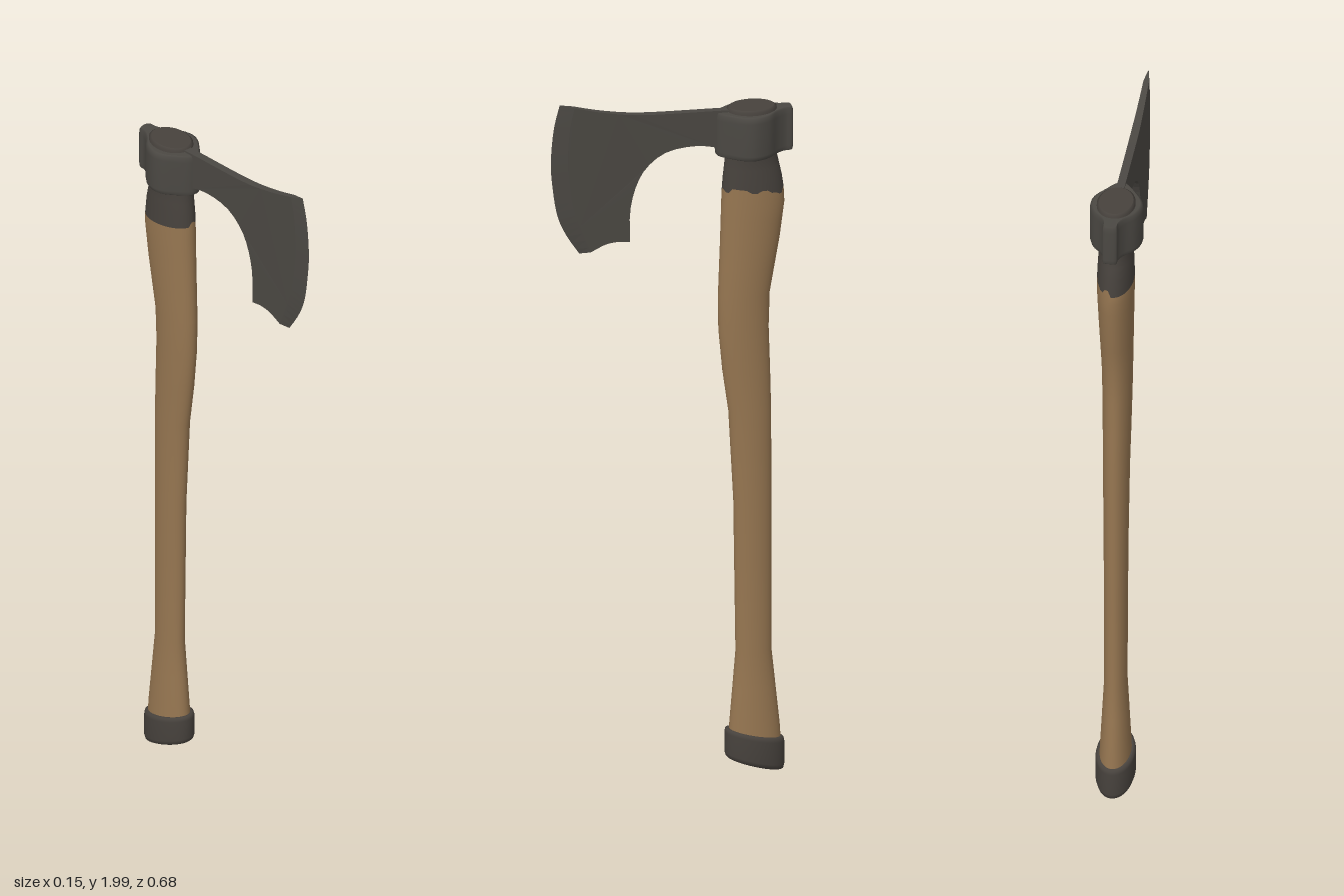
import * as THREE from 'three';

const SIDES = 36;
const iron = new THREE.MeshStandardMaterial({ color: 0x4b4843 });
const darkWrap = new THREE.MeshStandardMaterial({ color: 0x47423d });
const wood = new THREE.MeshStandardMaterial({ color: 0x967651 });
iron.name = 'iron';
darkWrap.name = 'darkWrap';
wood.name = 'wood';

// Skin a stack of rings (bottom to top); flat caps get their own vertices
function loft(rings, capBottom, capTop) {
  const n = rings[0].length, pos = [], idx = [];
  rings.forEach(r => r.forEach(p => pos.push(p.x, p.y, p.z)));
  for (let i = 0; i < rings.length - 1; i++) {
    for (let j = 0; j < n; j++) {
      const k = (j + 1) % n;
      const a = i * n + j, b = i * n + k, c = a + n, d = b + n;
      idx.push(a, c, b, b, c, d);
    }
  }
  const cap = (ring, up) => {
    const start = pos.length / 3;
    const mid = ring.reduce((s, p) => s.add(p), new THREE.Vector3()).divideScalar(n);
    [...ring, mid].forEach(p => pos.push(p.x, p.y, p.z));
    for (let j = 0; j < n; j++) {
      const a = start + j, b = start + (j + 1) % n;
      idx.push(start + n, up ? b : a, up ? a : b);
    }
  };
  if (capBottom) cap(rings[0], false);
  if (capTop) cap(rings[rings.length - 1], true);
  const g = new THREE.BufferGeometry();
  g.setAttribute('position', new THREE.Float32BufferAttribute(pos, 3));
  g.setIndex(idx);
  g.computeVertexNormals();
  return g;
}

// Handle sections: height, front z, back z, half width
const SECTIONS = [
  [0.06, -0.158, -0.308, 0.045], [0.14, -0.162, -0.303, 0.042],
  [0.36, -0.18, -0.28, 0.031], [0.80, -0.174, -0.28, 0.033],
  [1.06, -0.16, -0.279, 0.036], [1.18, -0.143, -0.276, 0.038],
  [1.30, -0.132, -0.272, 0.04], [1.40, -0.131, -0.275, 0.042],
  [1.56, -0.137, -0.303, 0.047], [1.66, -0.14, -0.316, 0.05],
  [1.72, -0.142, -0.313, 0.05], [1.80, -0.151, -0.295, 0.046],
  [1.84, -0.153, -0.295, 0.05],
];

// Point on the handle surface at a height and angle
function handlePoint(y, angle) {
  let i = 0;
  while (i < SECTIONS.length - 2 && y > SECTIONS[i + 1][0]) i++;
  const lo = SECTIONS[i], hi = SECTIONS[i + 1];
  const t = (y - lo[0]) / (hi[0] - lo[0]);
  const [, f, b, w] = lo.map((v, k) => THREE.MathUtils.lerp(v, hi[k], t));
  return new THREE.Vector3(w * Math.cos(angle), y, (f + b) / 2 + (f - b) / 2 * Math.sin(angle));
}
const angles = Array.from({ length: SIDES }, (_, j) => j / SIDES * Math.PI * 2);
const handleRing = y => angles.map(a => handlePoint(y, a));

// Ragged lower border of the wrap, stepped on the left side
const border = angles.map((a, j) => {
  const step = Math.cos(a) > 0 ? [0.012, 0.02, 0.02, 0.006][Math.floor(j / 2) % 4] : 0;
  return handlePoint(1.692 + step + 0.008 * Math.sin(a), a);
});

// Ellipse with a tilted plane: y falls towards the back
function tiltedRing(y, slope, w, d, zc = -0.2325) {
  return angles.map(a => {
    const dz = d * Math.sin(a);
    return new THREE.Vector3(w * Math.cos(a), y + slope * dz, zc + dz);
  });
}

// Closed outline of the eye collar seen from above
function collarOutline() {
  const half = [[0.018, -0.336], [0.021, -0.315], [0.034, -0.29], [0.06, -0.26],
    [0.073, -0.22], [0.067, -0.19], [0.045, -0.158], [0.013, -0.125]];
  const right = half.map(([x, z]) => new THREE.Vector3(x, 0, z));
  const left = half.map(([x, z]) => new THREE.Vector3(-x, 0, z)).reverse();
  return new THREE.CatmullRomCurve3([...right, ...left], true, 'centripetal').getPoints(64).slice(0, 64);
}

// Cutting edge and the line where its bevel starts, top to bottom, as [z, y]
const EDGE = [[0.315, 2.0], [0.332, 1.93], [0.34, 1.835], [0.335, 1.76], [0.322, 1.68], [0.298, 1.622], [0.26, 1.563]];
const BEVEL = [[0.275, 1.99], [0.288, 1.93], [0.294, 1.84], [0.289, 1.765], [0.277, 1.69], [0.256, 1.63], [0.23, 1.566]];
const smooth = pts => new THREE.SplineCurve(pts.map(p => new THREE.Vector2(...p))).getPoints(20);
const halfThickness = z => THREE.MathUtils.mapLinear(THREE.MathUtils.clamp(z, 0.1, 0.29), 0.1, 0.29, 0.011, 0.0075);

function bladeGeometry() {
  const shape = new THREE.Shape([
    ...smooth([[-0.2, 1.938], [-0.12, 1.942], [0.08, 1.951], [0.19, 1.968], [0.275, 1.99]]),
    ...smooth(BEVEL).slice(1),
    ...smooth([[0.23, 1.566], [0.19, 1.584], [0.155, 1.589], [0.12, 1.585]]).slice(1),
    ...smooth([[0.12, 1.587], [0.12, 1.67], [0.105, 1.74], [0.075, 1.795], [0.02, 1.835],
      [-0.055, 1.846], [-0.12, 1.836], [-0.155, 1.815], [-0.2, 1.812]]).slice(1),
  ]);
  const g = new THREE.ExtrudeGeometry(shape, { depth: 2, bevelEnabled: false });
  g.translate(0, 0, -1).rotateY(-Math.PI / 2);
  const p = g.attributes.position;
  for (let i = 0; i < p.count; i++) p.setX(i, p.getX(i) * halfThickness(p.getZ(i)));
  g.computeVertexNormals();
  return g;
}

// Wedge from the bevel line to the sharp edge
function edgeGeometry() {
  const outer = smooth(EDGE), inner = smooth(BEVEL), pos = [];
  const out = i => [0, outer[i].y, outer[i].x];
  const side = (i, s) => [s * halfThickness(inner[i].x), inner[i].y, inner[i].x];
  const tri = (a, b, c) => pos.push(...a, ...b, ...c);
  const last = outer.length - 1;
  for (let i = 0; i < last; i++) {
    tri(side(i, 1), out(i), out(i + 1));
    tri(side(i, 1), out(i + 1), side(i + 1, 1));
    tri(side(i, -1), out(i + 1), out(i));
    tri(side(i, -1), side(i + 1, -1), out(i + 1));
  }
  tri(side(0, 1), side(0, -1), out(0));
  tri(side(last, -1), side(last, 1), out(last));
  const g = new THREE.BufferGeometry();
  g.setAttribute('position', new THREE.Float32BufferAttribute(pos, 3));
  g.computeVertexNormals();
  return g;
}

export function createModel() {
  const model = new THREE.Group();
  model.name = 'axe';
  const add = (name, geometry, material) => {
    const mesh = new THREE.Mesh(geometry, material);
    mesh.name = name;
    model.add(mesh);
  };

  // Wooden handle and the dark wrap at its neck
  const heights = [0.06, 0.14, 0.25, 0.36, 0.6, 0.8, 0.95, 1.06, 1.18, 1.3, 1.4, 1.48, 1.56, 1.62, 1.66];
  add('handle', loft([...heights.map(handleRing), border], true, false), wood);
  add('neckWrap', loft([border, ...[1.74, 1.77, 1.8, 1.84].map(handleRing)], false, true), darkWrap);

  // Slanted pommel cap with rounded rims
  add('pommelCap', loft([
    tiltedRing(0.03, 0.3, 0.043, 0.074), tiltedRing(0.034, 0.3, 0.05, 0.08),
    tiltedRing(0.046, 0.28, 0.054, 0.083), tiltedRing(0.108, 0.23, 0.054, 0.083),
    tiltedRing(0.117, 0.23, 0.052, 0.081), tiltedRing(0.12, 0.23, 0.047, 0.076),
  ], true, true), darkWrap);

  // Eye collar around the top of the handle
  const outline = collarOutline();
  const collarRing = ([y, s, bow]) => outline.map(p => new THREE.Vector3(
    p.x * s, y - bow * Math.abs(p.x) / 0.073, -0.225 + (p.z + 0.225) * (0.7 + 0.3 * s)));
  add('eyeCollar', loft([[1.812, 0.9, 0.006], [1.815, 0.96, 0.006], [1.826, 1, 0.006],
    [1.915, 1, 0], [1.93, 0.96, 0], [1.936, 0.88, 0.004]].map(collarRing), true, true), iron);

  // Handle end showing through the eye
  add('handleTop', loft([
    tiltedRing(1.92, 0, 0.053, 0.07, -0.225), tiltedRing(1.94, 0, 0.052, 0.069, -0.225),
    tiltedRing(1.945, 0, 0.046, 0.062, -0.225),
  ], false, true), darkWrap);

  // Bearded blade
  add('blade', bladeGeometry(), iron);
  add('cuttingEdge', edgeGeometry(), iron);
  return model;
}
